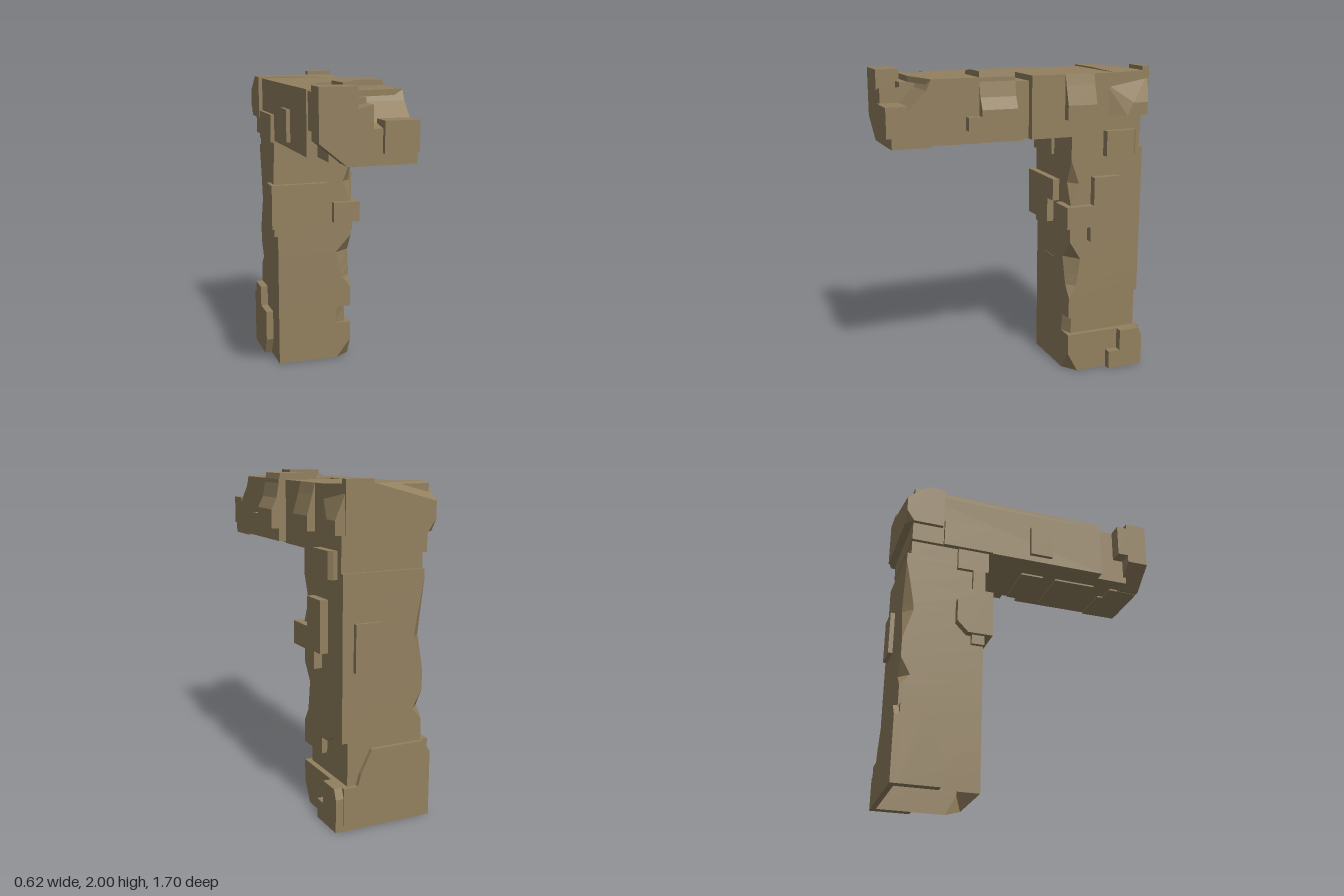
import * as THREE from 'three';
import { ConvexGeometry } from 'three/addons/geometries/ConvexGeometry.js';

export function createModel() {
  const model = new THREE.Group();
  model.name = 'brokenStoneArch';
  const stone = new THREE.MeshStandardMaterial({ color: 0x92805f, flatShading: true, side: THREE.DoubleSide });
  stone.name = 'stone';

  function add(name, geometry) {
    const mesh = new THREE.Mesh(geometry, stone);
    mesh.name = name;
    model.add(mesh);
  }

  // Polygon pushed along an axis from a to b; points are (z,y), (x,z) or (x,y).
  function prism(name, axis, points, a, b) {
    const shape = new THREE.Shape(points.map(([u, v]) =>
      new THREE.Vector2(axis === 'x' ? -u : u, axis === 'y' ? -v : v)));
    const g = new THREE.ExtrudeGeometry(shape, { depth: b - a, bevelEnabled: false });
    g.translate(0, 0, a);
    if (axis === 'x') g.rotateY(Math.PI / 2);
    if (axis === 'y') g.rotateX(-Math.PI / 2);
    add(name, g);
  }

  function block(name, x0, x1, y0, y1, z0, z1) {
    const g = new THREE.BoxGeometry(x1 - x0, y1 - y0, z1 - z0);
    g.translate((x0 + x1) / 2, (y0 + y1) / 2, (z0 + z1) / 2);
    add(name, g);
  }

  // Chipped stone spanning its corner points
  function chunk(name, points) {
    add(name, new ConvexGeometry(points.map((p) => new THREE.Vector3(...p))));
  }

  // Hollow column, open below: stacked outlines with chipped front and back corners.
  // [y, x max, z min, front chip (x, z), back chip (x, z)]
  const rings = [
    [0, 0.26, -0.82, 0.1, 0.07, 0, 0],
    [0.13, 0.26, -0.82, 0, 0, 0, 0],
    [0.26, 0.26, -0.82, 0, 0, 0, 0],
    [0.26, 0.225, -0.82, 0.08, 0.035, 0, 0],
    [0.38, 0.225, -0.82, 0.06, 0.035, 0, 0],
    [0.38, 0.225, -0.82, 0, 0, 0, 0],
    [0.52, 0.225, -0.82, 0, 0, 0, 0],
    [0.52, 0.26, -0.82, 0, 0, 0, 0],
    [0.6, 0.26, -0.82, 0.06, 0.05, 0, 0],
    [0.67, 0.26, -0.82, 0.08, 0.06, 0.06, 0.06],
    [0.78, 0.26, -0.82, 0.11, 0.075, 0, 0],
    [0.9, 0.26, -0.82, 0, 0, 0, 0],
    [1.1, 0.26, -0.82, 0, 0, 0.06, 0.06],
    [1.14, 0.26, -0.82, 0, 0, 0.055, 0.055],
    [1.28, 0.26, -0.82, 0.06, 0.055, 0.03, 0.03],
    [1.43, 0.26, -0.82, 0, 0, 0, 0],
    [1.49, 0.26, -0.82, 0, 0, 0, 0],
    [1.49, 0.26, -0.795, 0, 0, 0, 0],
    [1.75, 0.26, -0.795, 0, 0, 0, 0],
  ].map(([y, x, z, fx, fz, bx, bz]) => [
    [x - fx, y, -0.32], [x, y, -0.32 - fz], [x, y, z],
    [-0.26 + bx, y, z], [-0.26, y, z + bz], [-0.26, y, -0.32],
  ]);
  const tri = [];
  for (let r = 0; r < rings.length - 1; r++) {
    for (let i = 0; i < 6; i++) {
      const j = (i + 1) % 6, lo = rings[r], hi = rings[r + 1];
      tri.push(lo[i], lo[j], hi[j], lo[i], hi[j], hi[i]);
    }
  }
  const column = new THREE.BufferGeometry();
  column.setAttribute('position', new THREE.Float32BufferAttribute(tri.flat(), 3));
  column.computeVertexNormals();
  add('column', column);

  // Stones standing out of the column foot
  prism('footLeftStone', 'x', [[-0.6, 0], [-0.6, 0.12], [-0.68, 0.12], [-0.68, 0.26],
    [-0.82, 0.26], [-0.845, 0.2], [-0.845, 0]], 0.255, 0.31);
  prism('footBackStone', 'z', [[0.26, 0], [0.26, 0.26], [0.17, 0.26], [0.15, 0.33],
    [0.08, 0.47], [-0.26, 0.47], [-0.31, 0.4], [-0.31, 0]], -0.848, -0.815);
  prism('footRightStone', 'x', [[-0.815, 0], [-0.815, 0.47], [-0.66, 0.47], [-0.66, 0.33],
    [-0.5, 0.33], [-0.5, 0.12], [-0.56, 0]], -0.31, -0.255);
  prism('footSideCourse', 'x', [[-0.32, 0.38], [-0.56, 0.38], [-0.56, 0.48], [-0.62, 0.48],
    [-0.73, 0.54], [-0.32, 0.52]], 0.2, 0.26);

  // Stones standing out of the shaft
  prism('frontStone', 'z', [[-0.31, 0.98], [0, 0.98], [0, 1.14], [0.085, 1.14],
    [0.085, 1.28], [-0.31, 1.28]], -0.33, -0.275);
  prism('rightShaftStone', 'x', [[-0.3, 0.98], [-0.3, 1.28], [-0.42, 1.28], [-0.5, 1.2],
    [-0.5, 1.05], [-0.43, 0.98]], -0.31, -0.25);
  prism('rightShaftPlate', 'x', [[-0.32, 0.92], [-0.32, 1.43], [-0.4, 1.43], [-0.4, 0.92]],
    -0.285, -0.25);
  block('frontCornerStone', 0.125, 0.31, 1.0, 1.14, -0.42, -0.275);
  prism('leftShaftStone', 'x', [[-0.32, 1.0], [-0.32, 1.14], [-0.46, 1.14], [-0.46, 1.32],
    [-0.64, 1.32], [-0.64, 1.01], [-0.56, 1.01], [-0.56, 0.905], [-0.44, 0.905], [-0.44, 1.0]],
    0.25, 0.31);
  block('backShaftStone', 0.03, 0.19, 0.93, 1.21, -0.848, -0.81);
  prism('frontChip', 'z', [[-0.13, 0.74], [-0.03, 0.67], [0.02, 0.74]], -0.323, -0.317);
  block('neckFrontStone', -0.285, 0, 1.43, 1.6, -0.5, -0.3);
  prism('neckLeftStone', 'y', [[0.25, -0.54], [0.31, -0.54], [0.31, -0.73],
    [0.285, -0.755], [0.25, -0.755]], 1.45, 1.61);

  // Beam, with a sunken patch left in its top course
  prism('beam', 'y', [[-0.285, -0.8], [0.26, -0.8], [0.26, -0.05], [0.21, -0.05],
    [0.21, 0.06], [0.26, 0.06], [0.26, 0.58], [0, 0.58], [0, 0.7], [-0.22, 0.7],
    [-0.22, 0.49], [-0.285, 0.49]], 1.58, 1.93);
  prism('beamTopCourse', 'y', [[-0.285, -0.8], [0.26, -0.8], [0.26, -0.05], [-0.08, -0.05],
    [-0.08, 0], [-0.13, 0], [-0.13, 0.125], [0.09, 0.125], [0.09, 0.06], [0.26, 0.06],
    [0.26, 0.58], [0, 0.65], [-0.22, 0.65], [-0.22, 0.49], [-0.285, 0.49]], 1.93, 1.965);

  // Broken front end of the beam
  prism('frontEndRight', 'z', [[-0.31, 1.7], [-0.15, 1.57], [0, 1.57], [0, 1.9],
    [-0.09, 1.88], [-0.09, 2], [-0.31, 2]], 0.68, 0.82);
  block('frontEndLedge', -0.31, -0.2, 1.75, 1.965, 0.61, 0.68);
  prism('frontEndLeft', 'x', [[0.58, 1.57], [0.58, 1.96], [0.61, 1.9], [0.72, 1.79],
    [0.82, 1.77], [0.82, 1.57]], 0, 0.26);
  block('frontKnob', 0.055, 0.26, 1.635, 1.815, 0.72, 0.85);

  // Stones along the sides and underside of the beam
  prism('leftBeamStone', 'z', [[0, 1.95], [0, 1.985], [0.09, 2], [0.25, 2], [0.275, 1.85],
    [0.31, 1.78], [0.31, 1.66], [0.2, 1.66]], 0.06, 0.285);
  block('leftBeamStoneFoot', 0.25, 0.31, 1.66, 1.74, 0.28, 0.37);
  prism('leftRearStone', 'z', [[0.25, 1.69], [0.31, 1.69], [0.31, 1.78], [0.275, 1.9],
    [0.26, 1.965], [0.25, 1.965]], -0.465, -0.27);
  block('rightBeamPlate', -0.31, -0.28, 1.62, 1.82, -0.02, 0.13);
  block('rightRearPlate', -0.31, -0.28, 1.57, 1.75, -0.6, -0.28);
  for (const [z0, z1] of [[0.62, 0.82], [0.22, 0.5], [-0.02, 0.13]]) {
    block('undersidePlate', -0.12, 0.2, 1.568, 1.59, z0, z1);
  }

  // Rear head over the column, its back right corner broken off
  chunk('rearHead', [
    [0.26, 1.7, -0.61], [0.26, 1.7, -0.848], [-0.31, 1.7, -0.61], [-0.31, 1.7, -0.8],
    [-0.26, 1.7, -0.848], [-0.31, 1.77, -0.848], [-0.31, 1.87, -0.848],
    [-0.31, 1.975, -0.72], [0.08, 1.975, -0.848], [0.26, 1.975, -0.848],
    [-0.31, 1.975, -0.61], [-0.07, 1.975, -0.61], [0.13, 1.975, -0.7], [0.26, 1.965, -0.61],
  ]);
  chunk('rearLeftStone', [
    [0.25, 1.7, -0.845], [0.25, 1.95, -0.845], [0.25, 1.7, -0.55], [0.25, 1.9, -0.55],
    [0.31, 1.7, -0.82], [0.31, 1.78, -0.82], [0.31, 1.7, -0.68], [0.31, 1.78, -0.72],
  ]);
  block('rearCrest', 0.09, 0.26, 1.96, 2, -0.848, -0.8);

  return model;
}
